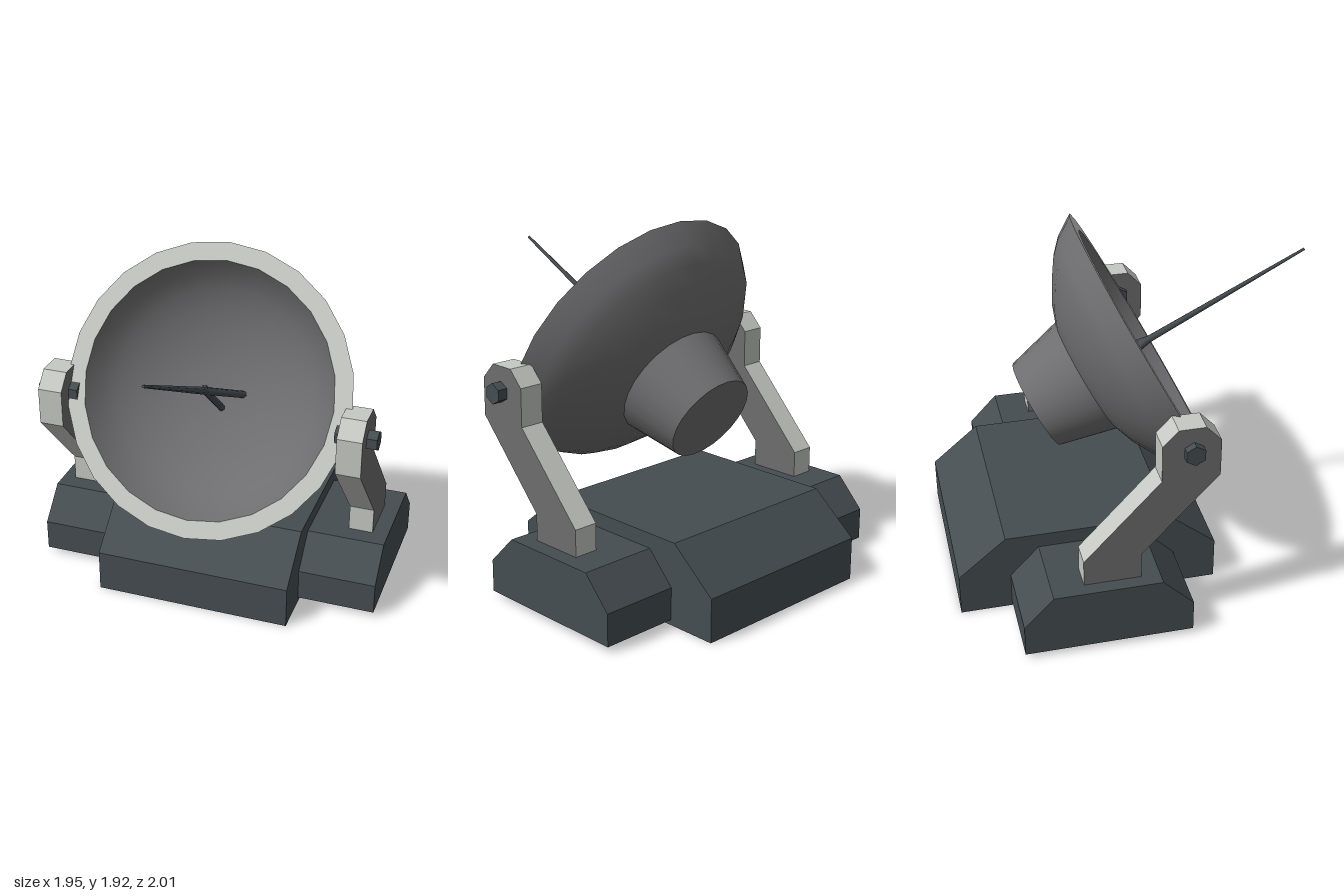
import * as THREE from 'three';

const material = (name, color, side = THREE.FrontSide) => {
  const m = new THREE.MeshStandardMaterial({ color, side });
  m.name = name;
  return m;
};

// Extrude a [z, y] side profile along x, from x0 to x1
function extrudeSide(profile, x0, x1) {
  const shape = new THREE.Shape(profile.map(([z, y]) => new THREE.Vector2(-z, y)));
  const geo = new THREE.ExtrudeGeometry(shape, { depth: x1 - x0, bevelEnabled: false });
  return geo.rotateY(Math.PI / 2).translate(x0, 0, 0);
}

// Drop the downward faces so the housing is a hollow shell
function openBottom(geo) {
  const pos = geo.attributes.position;
  const normal = geo.attributes.normal;
  const keptPos = [], keptNormal = [];
  for (let i = 0; i < pos.count; i += 3) {
    if (normal.getY(i) < -0.9) continue;
    for (let j = i; j < i + 3; j++) {
      keptPos.push(pos.getX(j), pos.getY(j), pos.getZ(j));
      keptNormal.push(normal.getX(j), normal.getY(j), normal.getZ(j));
    }
  }
  const out = new THREE.BufferGeometry();
  out.setAttribute('position', new THREE.Float32BufferAttribute(keptPos, 3));
  out.setAttribute('normal', new THREE.Float32BufferAttribute(keptNormal, 3));
  return out;
}

// Surface of revolution around z from [radius, z] points
const latheZ = (points) =>
  new THREE.LatheGeometry(points.map(([r, z]) => new THREE.Vector2(r, z)), 24).rotateX(Math.PI / 2);

// Tapered rod between two points
function rod(a, b, ra, rb, mat) {
  const dir = b.clone().sub(a);
  const mesh = new THREE.Mesh(new THREE.CylinderGeometry(rb, ra, dir.length(), 6), mat);
  mesh.position.copy(a).addScaledVector(dir, 0.5);
  mesh.quaternion.setFromUnitVectors(new THREE.Vector3(0, 1, 0), dir.normalize());
  return mesh;
}

export function createModel() {
  const model = new THREE.Group();
  model.name = 'dishAntenna';
  const slate = material('slate', 0x454d51, THREE.DoubleSide);
  const grey = material('grey', 0x6e6d6f);
  const pale = material('paleGrey', 0xc6c9c3);

  const add = (parent, name, geo, mat) => {
    const mesh = new THREE.Mesh(geo, mat);
    mesh.name = name;
    parent.add(mesh);
    return mesh;
  };

  // Base: central housing and a smaller pod on each side
  const housing = [[0.4, 0], [0.4, 0.235], [0.14, 0.45], [-0.745, 0.45], [-1, 0.235], [-1, 0]];
  add(model, 'baseHousing', openBottom(extrudeSide(housing, -0.547, 0.547)), slate);
  const pod = [[0.165, 0.03], [0.165, 0.205], [0, 0.37], [-0.57, 0.37], [-0.725, 0.205], [-0.725, 0.03]];
  add(model, 'leftPod', openBottom(extrudeSide(pod, 0.545, 0.977)), slate);
  add(model, 'rightPod', openBottom(extrudeSide(pod, -0.977, -0.545)), slate);

  // Cranked support arms with grey sides and pale edges, and hexagonal pivots
  const arm = [
    [0.22, 1.24], [0.08, 1.24], [0, 1.155], [0, 0.95], [-0.4, 0.515],
    [-0.4, 0.36], [-0.1, 0.36], [-0.1, 0.515], [0.3, 0.95], [0.3, 1.155],
  ];
  for (const [side, s, x0] of [['left', 1, 0.755], ['right', -1, -0.905]]) {
    add(model, side + 'Arm', extrudeSide(arm, x0, x0 + 0.135), [grey, pale]);
    const pivotGeo = new THREE.CylinderGeometry(0.056, 0.056, 0.225, 6).toNonIndexed();
    pivotGeo.computeVertexNormals();
    pivotGeo.rotateY(Math.PI / 2 + Math.PI / 6 * 2).rotateZ(Math.PI / 2);
    add(model, side + 'Pivot', pivotGeo, slate).position.set(s * 0.833, 1.105, 0.16);
  }

  // Dish, built facing +z and tilted upward
  const dish = new THREE.Group();
  dish.name = 'dish';
  dish.position.set(0, 1.2175, 0.1325);
  dish.rotation.x = -0.482;
  model.add(dish);

  const shell = [
    [0, -0.41], [0.17, -0.395], [0.321, -0.362], [0.441, -0.316], [0.551, -0.251],
    [0.65, -0.183], [0.721, -0.114], [0.793, 0],
  ];
  add(dish, 'dishShell', latheZ(shell), grey);
  add(dish, 'dishRim', latheZ([[0.793, 0], [0.695, 0]]), pale);
  const bowl = [
    [0.695, 0], [0.64, -0.085], [0.56, -0.16], [0.46, -0.222],
    [0.34, -0.272], [0.22, -0.303], [0.11, -0.318], [0, -0.323],
  ];
  add(dish, 'dishBowl', latheZ(bowl), grey);

  // Tapered drum behind the dish
  const drum = new THREE.CylinderGeometry(0.338, 0.255, 0.34, 24).rotateX(Math.PI / 2);
  add(dish, 'rearDrum', drum, grey).position.z = -0.502;

  // Feed spike on a tripod
  const v = (x, y, z) => new THREE.Vector3(x, y, z);
  const spike = rod(v(0, 0, -0.06), v(0, 0, 0.985), 0.022, 0.008, slate);
  spike.name = 'feedSpike';
  dish.add(spike);
  [[0.115, 0.005, -0.33], [-0.115, 0.005, -0.33], [0, -0.09, -0.34]].forEach((foot, i) => {
    const leg = rod(v(...foot), v(0, 0, 0.02), 0.021, 0.021, slate);
    leg.name = 'feedLeg' + (i + 1);
    dish.add(leg);
  });

  return model;
}
